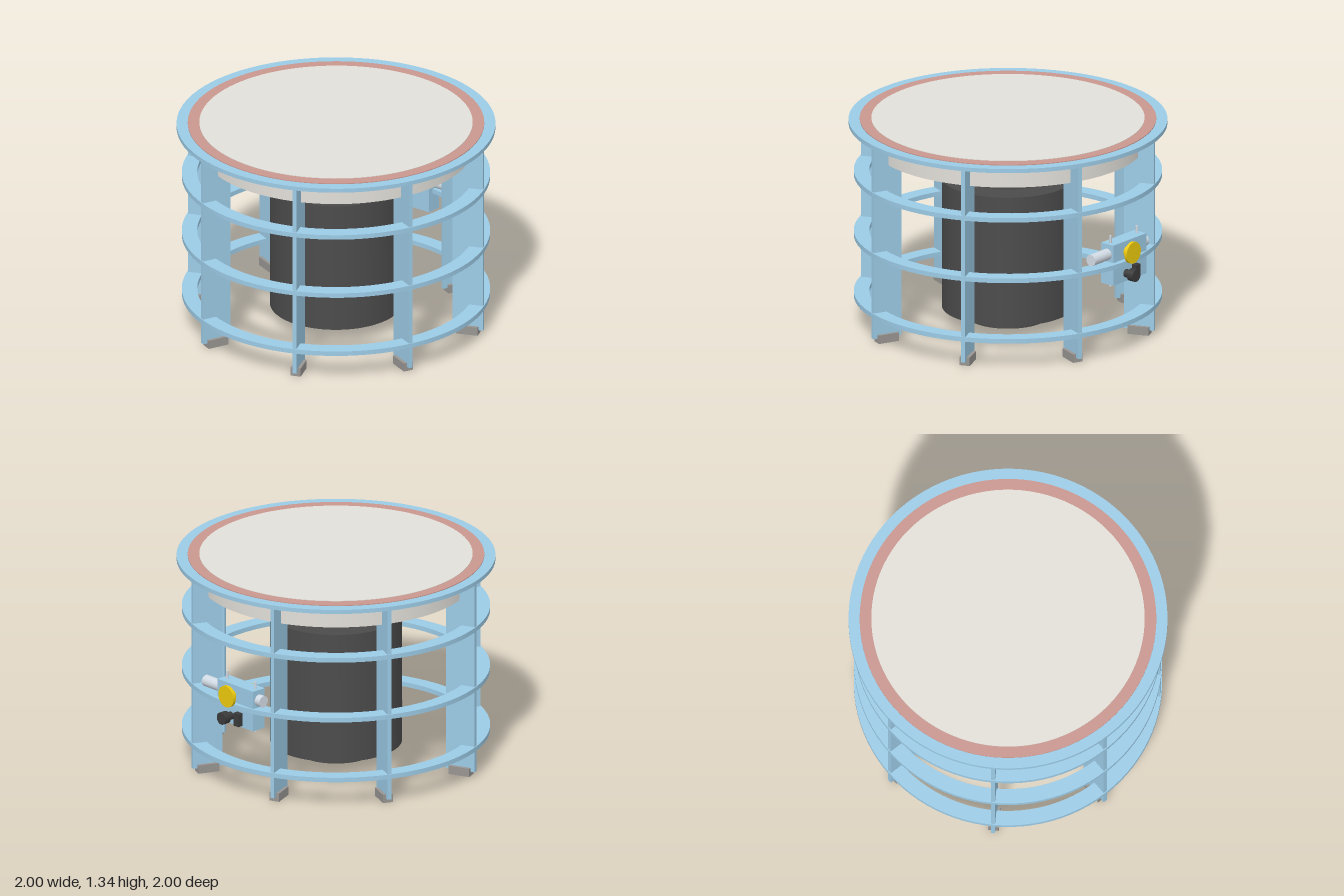
import * as THREE from 'three';
import { toCreasedNormals } from 'three/addons/utils/BufferGeometryUtils.js';

const mat = (color) => new THREE.MeshStandardMaterial({ color });
const blue = mat(0x9ccbe6), pink = mat(0xc8978f), ivory = mat(0xe2dfd9), dark = mat(0x4b4b4b);
const yellow = mat(0xecc90c), stone = mat(0x989592), steel = mat(0xd2dbe4), black = mat(0x3a3a3a);

function add(parent, name, geometry, material, x = 0, y = 0, z = 0) {
  const mesh = new THREE.Mesh(geometry, material);
  mesh.name = name;
  mesh.position.set(x, y, z);
  parent.add(mesh);
  return mesh;
}

// Solid of revolution with crisp edges, from [radius, height] pairs
function turned(points) {
  const profile = points.map(([r, y]) => new THREE.Vector2(r, y));
  return toCreasedNormals(new THREE.LatheGeometry(profile, 96), 0.6);
}

const hoop = (inner, outer, y0, y1) =>
  turned([[inner, y0], [outer, y0], [outer, y1], [inner, y1], [inner, y0]]);

// Cylinder lying along the local x axis, from x0 to x1
function rodX(parent, name, r, x0, x1, y, z, material) {
  const rod = add(parent, name, new THREE.CylinderGeometry(r, r, x1 - x0, 32), material, (x0 + x1) / 2, y, z);
  rod.rotation.z = Math.PI / 2;
  return rod;
}

export function createModel() {
  const model = new THREE.Group();
  model.name = 'roundFrameWithDrum';

  // Top: flange, coloured seal and round plate
  add(model, 'topFlange', hoop(0.85, 1, 1.308, 1.335), blue);
  add(model, 'sealRing', hoop(0.85, 0.93, 1.33, 1.34), pink);
  add(model, 'topPlate', turned([[0, 1.165], [0.857, 1.165], [0.857, 1.343], [0, 1.343]]), ivory);

  // Central stepped drum
  add(model, 'drum', turned([
    [0, 0.03], [0.253, 0.03], [0.253, 0.1], [0.415, 0.1],
    [0.415, 0.95], [0.253, 0.95], [0.253, 1.17], [0, 1.17],
  ]), dark);

  // Hoops around the frame
  for (const y of [0.17, 0.57, 0.97]) add(model, 'frameHoop', hoop(0.87, 0.967, y, y + 0.03), blue);

  // Eight radial posts, each on a foot
  for (let i = 0; i < 8; i++) {
    const leg = new THREE.Group();
    leg.name = 'leg';
    leg.rotation.y = (i * Math.PI) / 4;
    add(leg, 'post', new THREE.BoxGeometry(0.197, 1.28, 0.026), blue, 0.8625, 0.67, 0);
    add(leg, 'foot', new THREE.BoxGeometry(0.14, 0.055, 0.066), stone, 0.862, 0.0275, 0);
    model.add(leg);
  }

  // Control unit between two posts; local x points outwards
  const unit = new THREE.Group();
  unit.name = 'controlUnit';
  unit.rotation.y = Math.PI / 8;
  model.add(unit);
  add(unit, 'controlBox', new THREE.BoxGeometry(0.1, 0.265, 0.325), blue, 0.88, 0.5825, -0.073);
  for (const s of [-1, 1]) {
    add(unit, 'mountingPin', new THREE.CylinderGeometry(0.008, 0.008, 0.335, 16), steel, 0.88, 0.5975, -0.073 + s * 0.13);
  }
  const pipe = add(unit, 'pipe', new THREE.CylinderGeometry(0.037, 0.037, 0.53, 32), steel, 0.88, 0.648, -0.014);
  pipe.rotation.x = Math.PI / 2;
  rodX(unit, 'valveShaft', 0.035, 0.76, 0.97, 0.645, -0.045, yellow);
  rodX(unit, 'handwheel', 0.07, 0.965, 0.985, 0.645, -0.045, yellow);
  rodX(unit, 'knobStem', 0.026, 0.92, 0.98, 0.503, -0.034, black);
  rodX(unit, 'knob', 0.04, 0.97, 1.016, 0.503, -0.034, black);
  add(unit, 'switch', new THREE.BoxGeometry(0.04, 0.085, 0.045), black, 0.945, 0.503, -0.115);

  return model;
}
